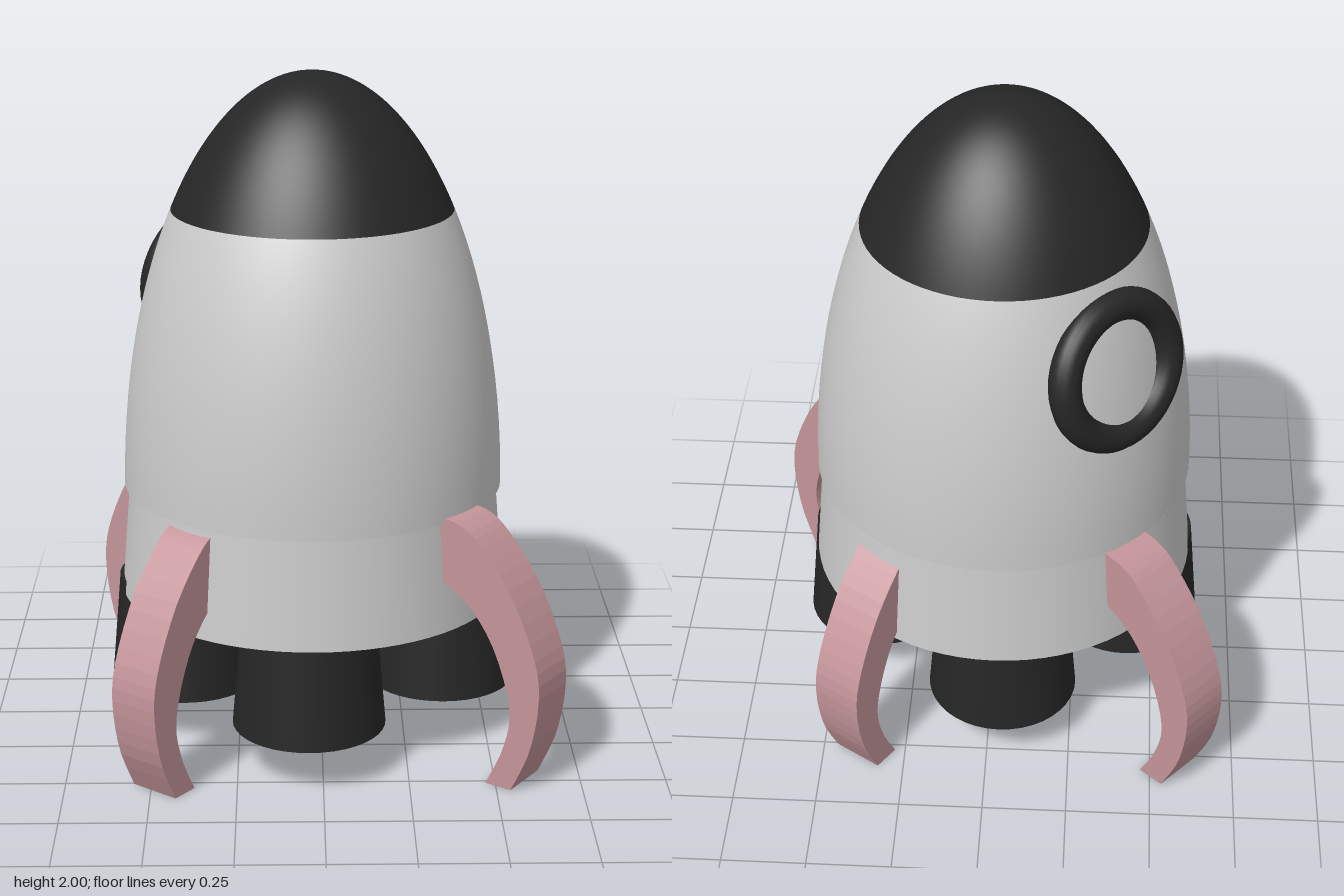
import * as THREE from 'three';

const CX = -0.025; // the hull sits slightly off the centre of the leg spread

const paint = (color) => new THREE.MeshStandardMaterial({ color, side: THREE.DoubleSide });

// Radius of the bullet-shaped hull at height y
const hullRadius = (y) => 0.565 * Math.sqrt(Math.max(0, 1 - ((y - 0.75) / 1.25) ** 2));

// Sampled hull profile between two heights, denser towards the top
function hullProfile(y0, y1, steps) {
  const pts = [];
  for (let i = 0; i <= steps; i++) {
    const y = y0 + (y1 - y0) * Math.sin((i / steps) * Math.PI / 2);
    pts.push(new THREE.Vector2(hullRadius(y), y));
  }
  return pts;
}

// Curved leg outline: x is measured outwards from the outermost point
function legGeometry(width) {
  const outer = [[-0.36, 0.79], [-0.27, 0.775], [-0.2, 0.725], [-0.1, 0.6], [-0.02, 0.43], [0, 0.3], [-0.025, 0.14], [-0.085, 0]];
  const inner = [[-0.17, 0], [-0.115, 0.12], [-0.095, 0.25], [-0.15, 0.42], [-0.24, 0.54], [-0.36, 0.61]];
  const v = (list) => list.map(([x, y]) => new THREE.Vector2(x, y));
  const shape = new THREE.Shape();
  shape.moveTo(...outer[0]);
  shape.splineThru(v(outer.slice(1)));
  shape.lineTo(...inner[0]);
  shape.splineThru(v(inner.slice(1)));
  shape.closePath();
  const geo = new THREE.ExtrudeGeometry(shape, { depth: width, bevelEnabled: false, curveSegments: 3 });
  return geo.translate(0, 0, -width / 2);
}

export function createModel() {
  const model = new THREE.Group();
  const grey = paint(0xcccccc), black = paint(0x262626), pink = paint(0xc4959a);
  const add = (name, geo, mat, x = 0, y = 0, z = 0) => {
    const mesh = new THREE.Mesh(geo, mat);
    mesh.name = name;
    mesh.position.set(x, y, z);
    model.add(mesh);
    return mesh;
  };

  // Hull, nose cone and flared skirt
  add('hull', new THREE.LatheGeometry(hullProfile(0.77, 1.6, 20), 72), grey, CX);
  add('noseCone', new THREE.LatheGeometry(hullProfile(1.6, 2, 28), 72), black, CX);
  add('hullLip', new THREE.RingGeometry(0.5, 0.565, 72).rotateX(Math.PI / 2), grey, CX, 0.77);
  add('skirt', new THREE.CylinderGeometry(0.55, 0.578, 0.34, 72), grey, CX, 0.61, -0.003);

  // Round window frame leaning with the hull wall
  const windowDir = new THREE.Vector3(-0.7, 0, -0.714).normalize();
  const frame = add('windowFrame', new THREE.TorusGeometry(0.195, 0.047, 16, 48), black,
    CX + windowDir.x * 0.475, 1.33, windowDir.z * 0.475);
  frame.rotation.set(-0.2, Math.atan2(windowDir.x, windowDir.z), 0, 'YXZ');

  // Four engine nozzles
  const nozzleGeo = new THREE.CylinderGeometry(0.195, 0.225, 0.34, 40);
  for (const [x, z] of [[0.365, 0.025], [-0.415, 0.025], [-0.04, 0.375], [-0.04, -0.335]]) {
    add('nozzle', nozzleGeo, black, x, 0.31, z);
  }

  // Four legs: outermost point, outward direction, height
  const legGeo = legGeometry(0.157);
  const legs = [
    ['frontLeftLeg', 0.655, 0.547, 0.81, 0.58, 0.79],
    ['frontRightLeg', -0.54, 0.62, -0.61, 0.79, 0.765],
    ['backLeftLeg', 0.44, -0.62, 0.55, -0.83, 0.745],
    ['backRightLeg', -0.65, -0.62, -0.75, -0.66, 0.76],
  ];
  for (const [name, x, z, dx, dz, height] of legs) {
    const leg = add(name, legGeo, pink, x, 0, z);
    leg.rotation.y = Math.atan2(-dz, dx);
    leg.scale.y = height / 0.79;
  }
  return model;
}
